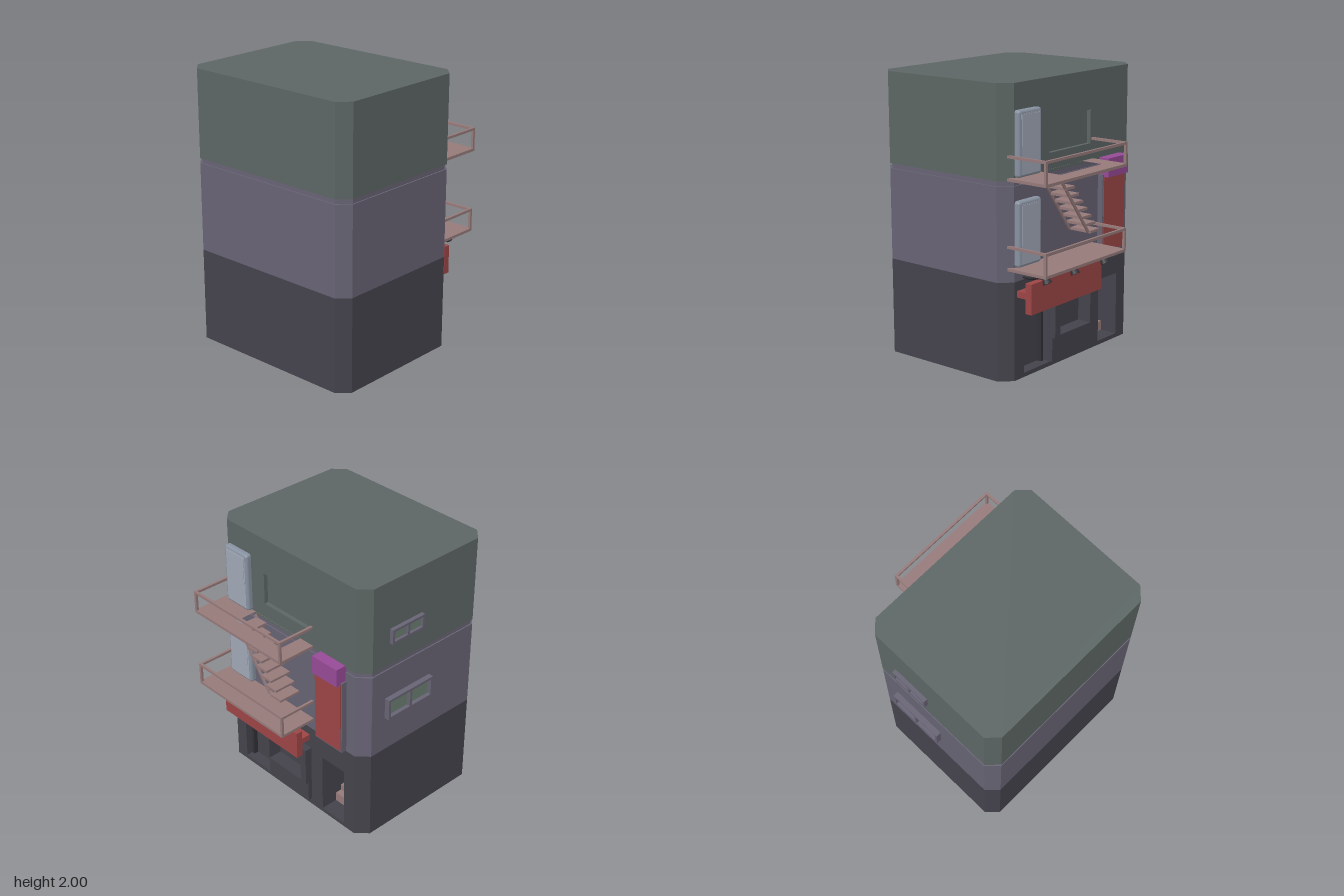
import * as THREE from 'three';
import { RoundedBoxGeometry } from 'three/addons/geometries/RoundedBoxGeometry.js';

const mat = (color) => new THREE.MeshStandardMaterial({ color });
const M = {
  ground: mat(0x44434c), middle: mat(0x676374), upper: mat(0x5c6664), dark: mat(0x303036),
  pink: mat(0x967a7a), red: mat(0x9c4545), purple: mat(0x964a96), door: mat(0x8791a0),
  panel: mat(0xa0a8b6), glass: mat(0x6a7d70),
};
const X0 = -0.71, X1 = 0.41, Z0 = -0.69, Z1 = 0.73, C = 0.08;

function add(parent, name, geometry, material) {
  const mesh = new THREE.Mesh(geometry, material);
  mesh.name = name;
  parent.add(mesh);
  return mesh;
}

// Box given by its lower and upper limits on each axis
function box(parent, name, material, x0, x1, y0, y1, z0, z1) {
  const m = add(parent, name, new THREE.BoxGeometry(x1 - x0, y1 - y0, z1 - z0), material);
  m.position.set((x0 + x1) / 2, (y0 + y1) / 2, (z0 + z1) / 2);
  return m;
}

function group(parent, name) {
  const g = new THREE.Group();
  g.name = name;
  parent.add(g);
  return g;
}

// Storey slab with cut corners; notches [zMin, zMax, depth] are recesses in the right wall
function storey(parent, name, material, y0, y1, notches = [], inset = 0) {
  const a = X0 + inset, b = X1 - inset, c = Z0 + inset, d = Z1 - inset;
  const pts = [[a + C, d], [b - C, d], [b, d - C]];
  for (const [n0, n1, depth] of notches) pts.push([b, n1], [b - depth, n1], [b - depth, n0], [b, n0]);
  pts.push([b, c + C], [b - C, c], [a + C, c], [a, c + C], [a, d - C]);
  const shape = new THREE.Shape(pts.map(([x, z]) => new THREE.Vector2(x, -z)));
  const geo = new THREE.ExtrudeGeometry(shape, { depth: y1 - y0, bevelEnabled: false });
  geo.rotateX(-Math.PI / 2).translate(0, y0, 0);
  add(parent, name, geo, material);
}

// Floor plate with an optional stair opening, and a rail on three sides
function balcony(parent, name, y, opening) {
  const g = group(parent, name);
  const x0 = 0.38, x1 = 0.7, z0 = -0.205, z1 = 0.685, t = 0.018, h = 0.17;
  const rect = (C2, a, b, c, d) => new C2([[a, c], [b, c], [b, d], [a, d]].map(([x, z]) => new THREE.Vector2(x, -z)));
  const shape = rect(THREE.Shape, x0, x1, z0, z1);
  if (opening) shape.holes.push(rect(THREE.Path, 0.412, 0.58, -0.08, 0.38));
  const geo = new THREE.ExtrudeGeometry(shape, { depth: 0.02, bevelEnabled: false });
  geo.rotateX(-Math.PI / 2).translate(0, y, 0);
  add(g, 'balconyFloor', geo, M.pink);
  box(g, 'outerRail', M.pink, x1 - t, x1, y + h - t, y + h, z0, z1);
  for (const z of [z0, z1 - t]) {
    box(g, 'sideRail', M.pink, x0, x1 - t, y + h - t, y + h, z, z + t);
    box(g, 'railPost', M.pink, x1 - t, x1, y + 0.02, y + h - t, z, z + t);
  }
}

function door(parent, name, y0, y1, panelY0) {
  const g = group(parent, name);
  const leaf = add(g, 'doorLeaf', new RoundedBoxGeometry(0.08, y1 - y0, 0.235, 3, 0.02), M.door);
  leaf.position.set(0.41, (y0 + y1) / 2, 0.5275);
  box(g, 'doorFace', M.panel, 0.44, 0.452, y0 + 0.02, y1 - 0.02, 0.43, 0.625);
  box(g, 'doorPanel', M.panel, 0.44, 0.455, panelY0, y1 - 0.03, 0.44, 0.615);
}

// Frame extruded outward from a wall, with rectangular openings [u0, u1, v0, v1]
function frameGeometry(u0, u1, v0, v1, openings, depth) {
  const pts = (a, b, c, d) => [[a, c], [b, c], [b, d], [a, d]].map((p) => new THREE.Vector2(...p));
  const shape = new THREE.Shape(pts(u0, u1, v0, v1));
  for (const o of openings) shape.holes.push(new THREE.Path(pts(...o)));
  return new THREE.ExtrudeGeometry(shape, { depth, bevelEnabled: false });
}

function backWindow(parent, name, x0, x1, y0, y1, depth) {
  const g = group(parent, name);
  const mid = (x0 + x1) / 2, b = 0.018;
  // Turned to face the back, so x is negated
  const geo = frameGeometry(-x1, -x0, y0, y1, [
    [-x1 + b, -mid - b / 2, y0 + b, y1 - b], [-mid + b / 2, -x0 - b, y0 + b, y1 - b]], depth);
  geo.rotateY(Math.PI).translate(0, 0, Z0);
  add(g, 'windowFrame', geo, M.middle);
  box(g, 'windowPanes', M.glass, x0 + 0.01, x1 - 0.01, y0 + 0.01, y1 - 0.01, Z0 - 0.01, Z0 + 0.01);
}

function lamp(parent, z) {
  const g = group(parent, 'signLamp');
  g.position.z = z;
  const path = new THREE.CatmullRomCurve3([[0.4, 0.705], [0.47, 0.705], [0.55, 0.725], [0.59, 0.72]]
    .map(([x, y]) => new THREE.Vector3(x, y, 0)));
  add(g, 'lampArm', new THREE.TubeGeometry(path, 12, 0.014, 8), M.dark);
  const head = add(g, 'lampHead', new THREE.CylinderGeometry(0.022, 0.033, 0.045, 12), M.dark);
  head.position.set(0.6, 0.71, 0);
  head.rotation.z = 0.5;
}

export function createModel() {
  const root = new THREE.Group();
  root.name = 'building';

  // Walls, stacked so that the recesses start and end at the right heights
  const walls = group(root, 'walls');
  const shop = [-0.175, 0.55, 0.085], entry = [-0.51, -0.29, 0.5];
  storey(walls, 'groundBase', M.ground, 0, 0.03);
  storey(walls, 'groundStorey', M.ground, 0.03, 0.49, [entry, shop].reverse());
  storey(walls, 'groundTop', M.ground, 0.49, 0.685);
  storey(walls, 'middleStorey', M.middle, 0.685, 1.33);
  storey(walls, 'groove', M.middle, 1.33, 1.365, [], 0.01);
  storey(walls, 'upperStoreyBase', M.upper, 1.365, 1.495);
  storey(walls, 'upperStoreyWindowBand', M.upper, 1.495, 1.73, [[-0.175, 0.28, 0.03]]);
  storey(walls, 'upperStoreyTop', M.upper, 1.73, 2);

  // Shop front: door posts, display window and the panel under it
  const front = group(root, 'shopFront');
  for (const z of [0.525, 0.28]) box(front, 'doorPost', M.dark, 0.32, 0.36, 0.03, 0.49, z, z + 0.024);
  const frame = frameGeometry(-0.28, 0.175, 0.21, 0.51, [[-0.22, 0.12, 0.225, 0.485]], 0.14);
  frame.rotateY(Math.PI / 2).translate(0.325, 0, 0);
  add(front, 'displayFrame', frame, M.ground);
  box(front, 'displayGlass', M.ground, 0.325, 0.36, 0.22, 0.49, -0.13, 0.23);
  box(front, 'lowerPanel', M.ground, 0.32, 0.428, 0.03, 0.21, -0.16, 0.265);

  // Indoor steps rising away from the entry
  const indoor = group(root, 'entrySteps');
  for (let i = 0; i < 6; i++) {
    const x = 0.28 - i * 0.05;
    box(indoor, 'entryStep', M.pink, x - 0.05, x, 0.03, 0.1 + i * 0.047, -0.51, -0.29);
  }

  // Shop sign with its mounting bar and lamps
  const sign = group(root, 'shopSign');
  box(sign, 'signBoard', M.red, 0.48, 0.53, 0.475, 0.685, -0.16, 0.62);
  box(sign, 'signBar', M.red, 0.4, 0.48, 0.575, 0.62, -0.16, 0.62);
  for (const z of [0.55, 0.25, -0.09]) lamp(sign, z);

  // Balconies and the doors onto them
  balcony(root, 'lowerBalcony', 0.765, false);
  balcony(root, 'upperBalcony', 1.365, true);
  door(root, 'lowerDoor', 0.785, 1.23, 0.93);
  door(root, 'upperDoor', 1.385, 1.825, 1.59);

  // Outside stair: treads between two slanted stringers
  const stair = group(root, 'stair');
  for (let i = 0; i < 8; i++) {
    const y = 1.345 - i * 0.0575, z = 0.27 - i * 0.047;
    box(stair, 'tread', M.pink, 0.41, 0.58, y - 0.018, y, z, z + 0.105);
  }
  const length = Math.hypot(0.43, 0.32);
  for (const x of [0.416, 0.574]) {
    const s = add(stair, 'stringer', new THREE.BoxGeometry(0.012, length, 0.018), M.pink);
    s.position.set(x, 1.15, 0.222);
    s.rotation.x = Math.atan2(0.32, 0.43);
  }

  // Upright banner with a cap
  const banner = group(root, 'banner');
  box(banner, 'bannerBack', M.middle, 0.4, 0.452, 0.69, 1.26, -0.53, -0.268);
  box(banner, 'bannerFace', M.red, 0.44, 0.46, 0.705, 1.245, -0.52, -0.275);
  box(banner, 'bannerCap', M.purple, 0.4, 0.49, 1.245, 1.38, -0.518, -0.283);

  backWindow(root, 'lowerBackWindow', -0.21, 0.21, 0.95, 1.11, 0.04);
  backWindow(root, 'upperBackWindow', -0.115, 0.18, 1.535, 1.645, 0.03);
  return root;
}
